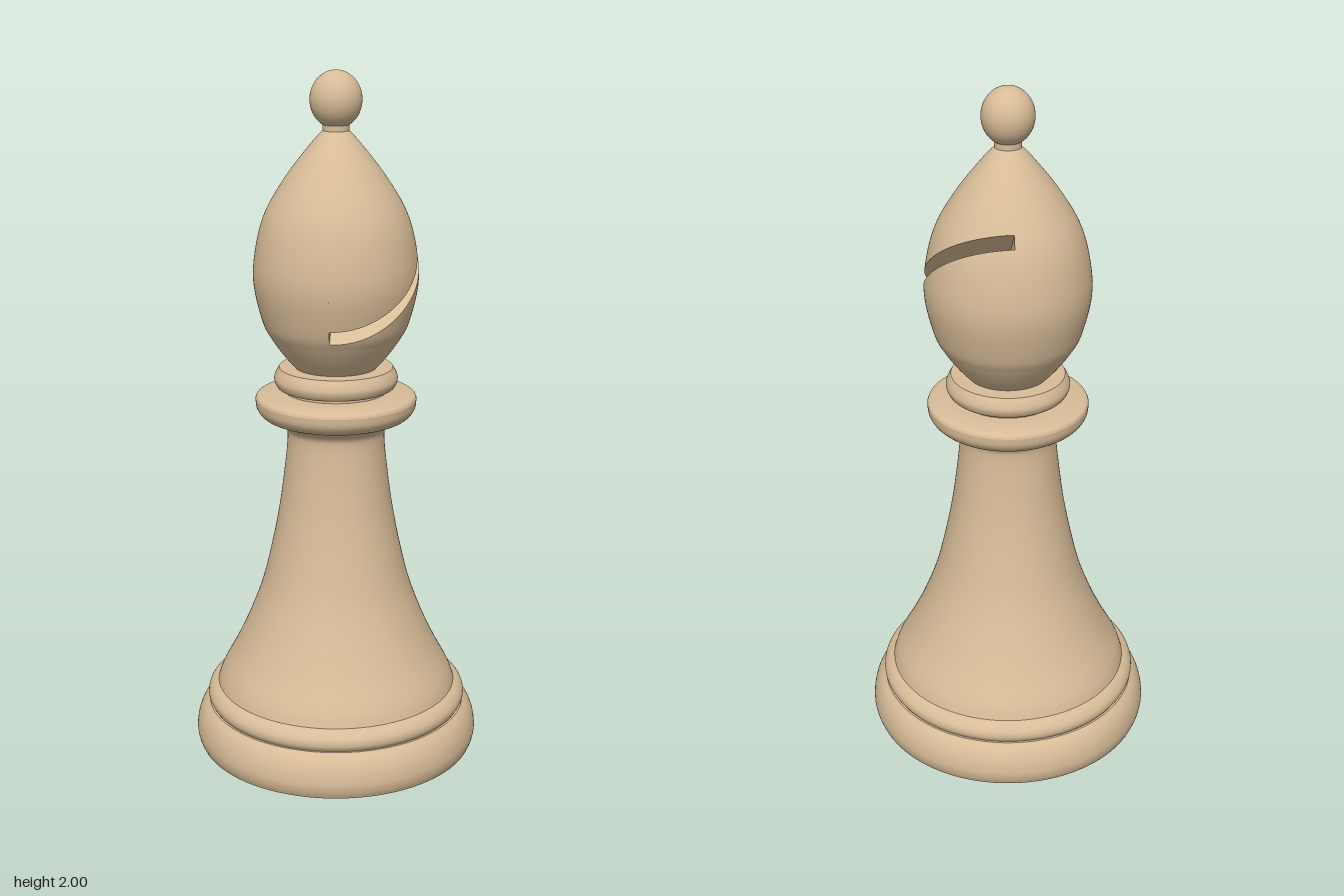
import * as THREE from 'three';

const SEG = 96;
const wood = new THREE.MeshStandardMaterial({ color: 0xd8bc98 });
const slotWood = wood.clone();
slotWood.side = THREE.DoubleSide;

const spline = (pts) => new THREE.SplineCurve(pts.map(([r, y]) => new THREE.Vector2(r, y)));

function addMesh(group, name, geometry, material = wood) {
  const mesh = new THREE.Mesh(geometry, material);
  mesh.name = name;
  group.add(mesh);
}

// Turned part following a smooth profile, listed bottom to top
function addTurned(group, name, pts, divisions = 40) {
  addMesh(group, name, new THREE.LatheGeometry(spline(pts).getPoints(divisions), SEG));
}

// Flat ring that closes a step between two turned parts
function addDisc(group, name, radius, y, up = true) {
  const disc = new THREE.CircleGeometry(radius, SEG);
  disc.rotateX(up ? -Math.PI / 2 : Math.PI / 2);
  disc.translate(0, y, 0);
  addMesh(group, name, disc);
}

// Head profile and the slanted slot: planes y + SLOPE * z = SLOT_Y +- SLOT_HALF
const head = spline([
  [0.115, 1.16], [0.15, 1.2], [0.185, 1.25], [0.21, 1.3], [0.234, 1.41],
  [0.227, 1.51], [0.199, 1.61], [0.14, 1.71], [0.07, 1.8], [0.037, 1.835],
]);
const SLOPE = 0.87, SLOT_Y = 1.473, SLOT_HALF = 0.025, ROWS = 40, HALF_SEG = 64;

// Profile parameter at which the head surface meets a slot plane
function cutAt(phi, planeY) {
  let lo = 0, hi = 1;
  for (let i = 0; i < 40; i++) {
    const mid = (lo + hi) / 2;
    const p = head.getPoint(mid);
    if (p.y + SLOPE * p.x * Math.cos(phi) < planeY) lo = mid;
    else hi = mid;
  }
  return lo;
}

// Half of the head on +x, squeezed along its profile to end at a slot plane
function headPiece(planeY, isLower) {
  const geo = new THREE.LatheGeometry(head.getPoints(ROWS), HALF_SEG, 0, Math.PI);
  const { position, normal } = geo.attributes;
  for (let i = 0; i <= HALF_SEG; i++) {
    const phi = (i / HALF_SEG) * Math.PI;
    const s = Math.sin(phi), c = Math.cos(phi), cut = cutAt(phi, planeY);
    for (let j = 0; j <= ROWS; j++) {
      const t = isLower ? (cut * j) / ROWS : cut + ((1 - cut) * j) / ROWS;
      const p = head.getPoint(t), d = head.getTangent(t);
      const k = i * (ROWS + 1) + j;
      position.setXYZ(k, p.x * s, p.y, p.x * c);
      normal.setXYZ(k, d.y * s, -d.x, d.y * c);
    }
  }
  return geo;
}

// Strip of quads between pairs of points
function strip(pairs) {
  const geo = new THREE.BufferGeometry();
  const index = [];
  for (let i = 0; i < pairs.length - 1; i++) {
    const a = 2 * i;
    index.push(a, a + 1, a + 2, a + 1, a + 3, a + 2);
  }
  geo.setAttribute('position', new THREE.Float32BufferAttribute(pairs.flat(2), 3));
  geo.setIndex(index);
  geo.computeVertexNormals();
  return geo;
}

// Flat slot face running from the head surface in to the x = 0 wall
function slotFace(planeY) {
  const pairs = [];
  for (let i = 0; i <= HALF_SEG; i++) {
    const phi = (i / HALF_SEG) * Math.PI;
    const p = head.getPoint(cutAt(phi, planeY));
    const z = p.x * Math.cos(phi);
    pairs.push([[p.x * Math.sin(phi), p.y, z], [0, p.y, z]]);
  }
  return strip(pairs);
}

function buildHead() {
  const group = new THREE.Group();
  group.name = 'head';
  const low = SLOT_Y - SLOT_HALF, high = SLOT_Y + SLOT_HALF;
  addMesh(group, 'headSolidHalf',
    new THREE.LatheGeometry(head.getPoints(60), HALF_SEG, Math.PI, Math.PI));
  addMesh(group, 'headBelowSlot', headPiece(low, true));
  addMesh(group, 'headAboveSlot', headPiece(high, false));
  addMesh(group, 'slotFloor', slotFace(low), slotWood);
  addMesh(group, 'slotCeiling', slotFace(high), slotWood);
  // Inner wall of the slot
  const wallEnds = [0, Math.PI].map((phi) => [low, high].map((planeY) => {
    const p = head.getPoint(cutAt(phi, planeY));
    return [0, p.y, p.x * Math.cos(phi)];
  }));
  addMesh(group, 'slotWall', strip(wallEnds), slotWood);
  return group;
}

export function createModel() {
  const model = new THREE.Group();
  model.name = 'chessBishop';

  // Base with its bead
  addDisc(model, 'underside', 0.412, 0, false);
  addTurned(model, 'base', [[0.412, 0], [0.42, 0.02], [0.423, 0.045], [0.417, 0.08], [0.403, 0.11], [0.384, 0.13]]);
  addDisc(model, 'baseTop', 0.384, 0.13);
  addTurned(model, 'baseBead', [[0.378, 0.13], [0.386, 0.145], [0.385, 0.163], [0.373, 0.18], [0.356, 0.19]]);
  addDisc(model, 'beadTop', 0.356, 0.19);

  // Body flaring out into the collar
  addTurned(model, 'body', [
    [0.356, 0.19], [0.341, 0.23], [0.298, 0.31], [0.257, 0.4], [0.22, 0.5], [0.192, 0.61],
    [0.168, 0.73], [0.151, 0.85], [0.141, 0.95], [0.147, 0.985], [0.175, 1.005],
    [0.21, 1.02], [0.229, 1.043], [0.233, 1.07],
  ], 90);
  addTurned(model, 'collarRim', [[0.233, 1.07], [0.226, 1.081], [0.2, 1.088], [0.155, 1.092], [0, 1.092]]);

  // Neck ring under the head
  addTurned(model, 'neck', [[0.148, 1.085], [0.148, 1.105]], 2);
  addTurned(model, 'neckRing', [[0.148, 1.1], [0.168, 1.105], [0.178, 1.125], [0.175, 1.143], [0.164, 1.163]]);
  addDisc(model, 'neckRingTop', 0.164, 1.163);

  model.add(buildHead());

  // Finial
  addTurned(model, 'finialStem', [[0.037, 1.83], [0.037, 1.87]], 2);
  const ball = new THREE.SphereGeometry(0.073, 48, 32);
  ball.scale(1, 0.08 / 0.073, 1);
  ball.translate(0, 1.92, 0);
  addMesh(model, 'finialBall', ball);

  return model;
}
